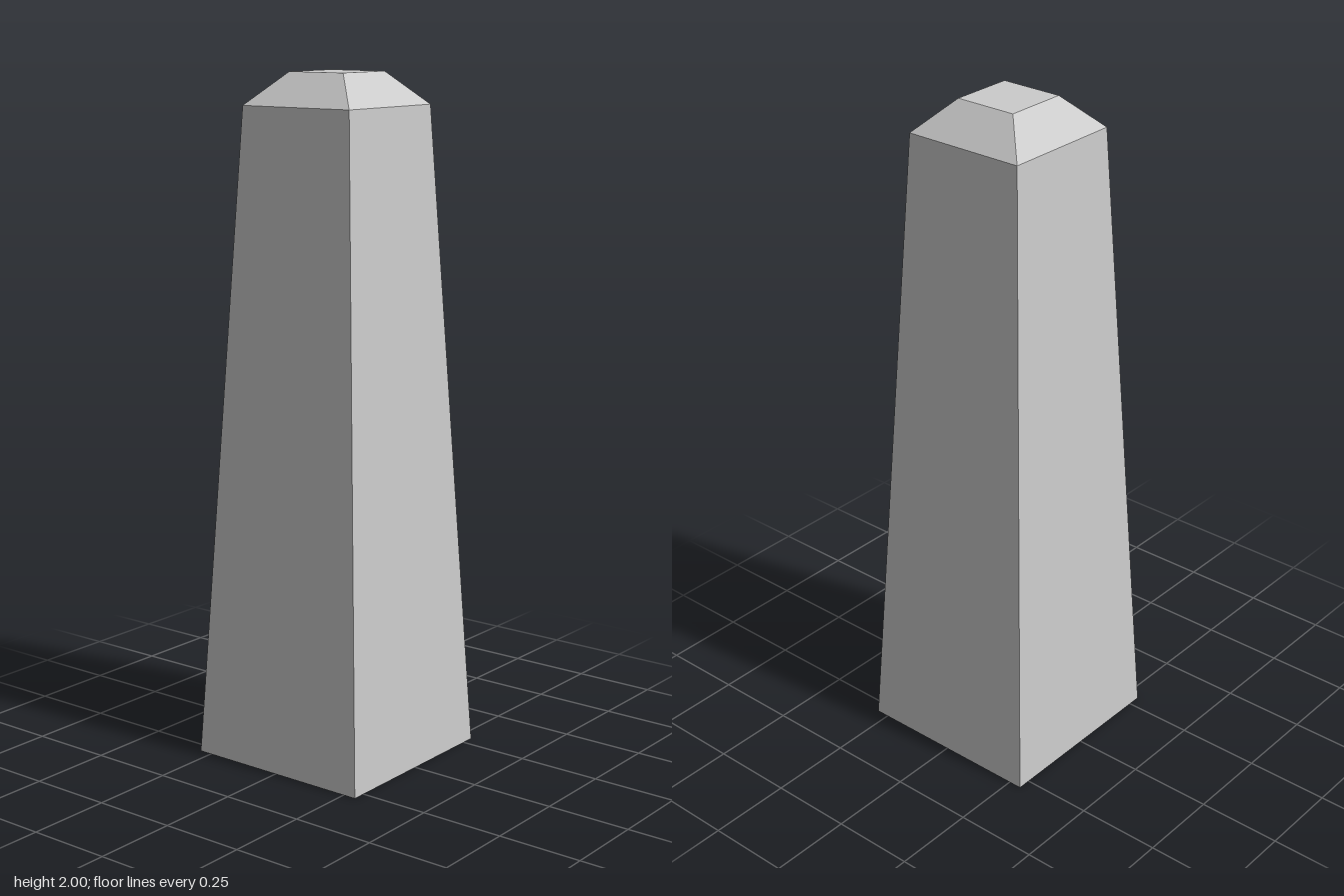
import * as THREE from 'three';

const BASE = 0.29, SHOULDER = 0.188, TIP = 0.095; // half widths
const SHOULDER_Y = 1.907, TOP_Y = 2;

const material = new THREE.MeshStandardMaterial({ color: 0xcccccc, flatShading: true });

// Four-sided solid swept from [half width, height] pairs, bottom to top
function squareLathe(name, profile) {
  const points = profile.map(([half, y]) => new THREE.Vector2(half * Math.SQRT2, y));
  const geometry = new THREE.LatheGeometry(points, 4, Math.PI / 4).toNonIndexed();
  geometry.computeVertexNormals();
  const mesh = new THREE.Mesh(geometry, material);
  mesh.name = name;
  return mesh;
}

export function createModel() {
  const group = new THREE.Group();
  group.name = 'obelisk';

  // Tapered shaft, closed underneath
  group.add(squareLathe('shaft', [[0, 0], [BASE, 0], [SHOULDER, SHOULDER_Y]]));

  // Bevelled cap with a flat top
  group.add(squareLathe('cap', [[SHOULDER, SHOULDER_Y], [TIP, TOP_Y], [0, TOP_Y]]));

  return group;
}
